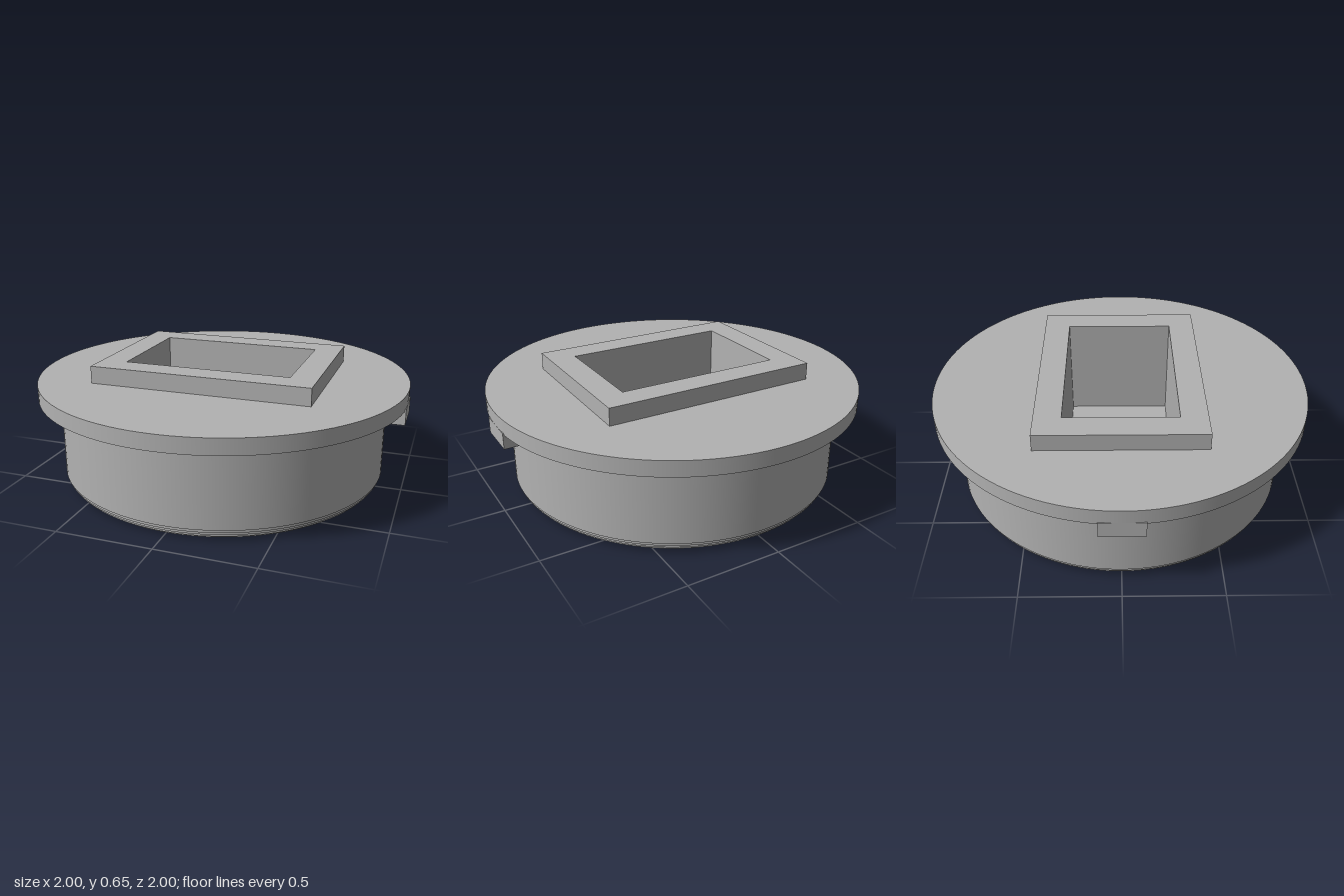
import * as THREE from 'three';

const SEG = 128;

// Rectangular outline centred on the origin
function rectangle(Target, w, d) {
  const p = new Target();
  p.moveTo(-w / 2, -d / 2);
  p.lineTo(w / 2, -d / 2);
  p.lineTo(w / 2, d / 2);
  p.lineTo(-w / 2, d / 2);
  p.closePath();
  return p;
}

export function createModel() {
  const group = new THREE.Group();
  const grey = new THREE.MeshStandardMaterial({ color: 0xb2b2b2 });

  const add = (name, geometry, x = 0, y = 0, z = 0, parent = group) => {
    const mesh = new THREE.Mesh(geometry, grey);
    mesh.name = name;
    mesh.position.set(x, y, z);
    parent.add(mesh);
    return mesh;
  };
  const wall = (r, y0, y1, open) =>
    new THREE.CylinderGeometry(r, r, y1 - y0, SEG, 1, open).translate(0, (y0 + y1) / 2, 0);

  const flangeY = 0.48, flangeTop = 0.562, collarTop = 0.654, floorY = 0.08;
  const plugR = 0.885, outerW = 1.17, outerD = 0.86, innerW = 0.89, innerD = 0.58;

  // Stepped rounding at the foot of the plug
  const foot = new THREE.Group();
  foot.name = 'steppedFoot';
  group.add(foot);
  [0.837, 0.857, 0.87, 0.879].forEach((r, i) =>
    add('footStep', wall(r, i * 0.015, (i + 1) * 0.015, false), 0, 0, 0, foot));

  // Plug wall with its underside ring
  add('plugWall', wall(plugR, 0.06, flangeY, true));
  add('plugUnderside', new THREE.RingGeometry(0.8, plugR, SEG).rotateX(Math.PI / 2), 0, 0.06, 0);

  // Flange: edge, underside and a top face opened for the socket
  add('flangeEdge', wall(1, flangeY, flangeTop, true));
  add('flangeUnderside', new THREE.RingGeometry(plugR, 1, SEG).rotateX(Math.PI / 2), 0, flangeY, 0);
  const disc = new THREE.Shape().absarc(0, 0, 1, 0, Math.PI * 2);
  disc.holes.push(rectangle(THREE.Path, outerW, outerD));
  add('flangeTop', new THREE.ShapeGeometry(disc, SEG / 2).rotateX(-Math.PI / 2), 0, flangeTop, 0);

  // Rectangular socket: raised collar continuing down as the pocket walls
  const frame = rectangle(THREE.Shape, outerW, outerD);
  frame.holes.push(rectangle(THREE.Path, innerW, innerD));
  const sleeve = new THREE.ExtrudeGeometry(frame, { depth: collarTop - floorY, bevelEnabled: false });
  add('socketCollar', sleeve.rotateX(-Math.PI / 2), 0, floorY, 0);
  add('socketFloor', new THREE.PlaneGeometry(innerW, innerD).rotateX(-Math.PI / 2), 0, floorY, 0);

  // Locking tabs under the flange on both sides
  for (const side of [-1, 1]) {
    add(side > 0 ? 'leftTab' : 'rightTab',
      new THREE.BoxGeometry(0.14, 0.085, 0.22), side * 0.93, 0.4475, 0);
  }
  return group;
}
